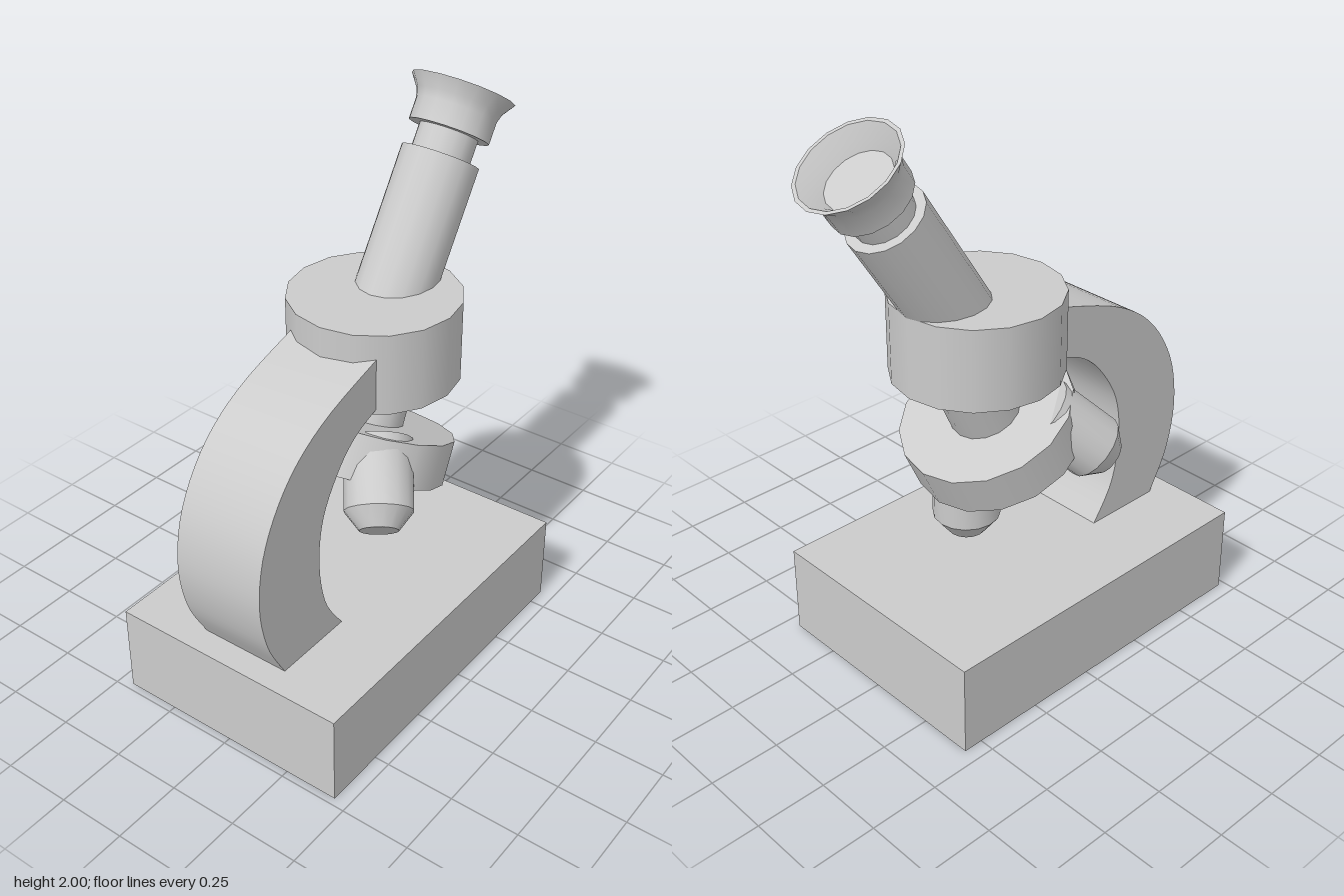
import * as THREE from 'three';
import { toCreasedNormals } from 'three/addons/utils/BufferGeometryUtils.js';

const SIDES = 16;
const rad = THREE.MathUtils.degToRad;
const material = new THREE.MeshStandardMaterial({ color: 0xcccccc });

function part(name, geometry, x = 0, y = 0, z = 0) {
  const mesh = new THREE.Mesh(geometry, material);
  mesh.name = name;
  mesh.position.set(x, y, z);
  return mesh;
}

// Cylinder running between two heights on the local y axis
function rod(name, radius, y0, y1) {
  return part(name, new THREE.CylinderGeometry(radius, radius, y1 - y0, SIDES), 0, (y0 + y1) / 2, 0);
}

// Turned solid from [radius, height] pairs, listed from the bottom outwards and up
function turned(name, profile) {
  const points = profile.map(([r, y]) => new THREE.Vector2(r, y));
  return part(name, toCreasedNormals(new THREE.LatheGeometry(points, SIDES), rad(35)));
}

// Curved arm: a side outline in (z, y), extruded across x
function makeArm() {
  const vec = ([z, y]) => new THREE.Vector2(z, y);
  const outer = [[0.63, 0.33], [0.71, 0.49], [0.74, 0.68], [0.70, 0.88], [0.58, 1.06], [0.40, 1.18], [0.13, 1.27]];
  const inner = [[0.13, 1.085], [0.24, 1.04], [0.33, 0.96], [0.415, 0.82], [0.44, 0.65], [0.41, 0.47], [0.325, 0.33]];
  const shape = new THREE.Shape();
  shape.moveTo(...outer[0]);
  shape.splineThru(outer.slice(1).map(vec));
  shape.lineTo(...inner[0]);
  shape.splineThru(inner.slice(1).map(vec));
  shape.closePath();
  const geometry = new THREE.ExtrudeGeometry(shape, { depth: 0.338, bevelEnabled: false, curveSegments: 4 });
  geometry.rotateY(-Math.PI / 2).translate(0.175, 0, 0);
  return part('arm', toCreasedNormals(geometry, rad(35)));
}

// Objective lens: origin at its shoulder, pointing along direction
function makeObjective(name, position, direction) {
  const lens = turned(name, [[0, -0.065], [0.066, -0.065], [0.117, 0], [0.117, 0.24], [0, 0.24]]);
  lens.position.set(...position);
  const up = new THREE.Vector3(...direction).normalize().negate();
  lens.quaternion.setFromUnitVectors(new THREE.Vector3(0, 1, 0), up);
  return lens;
}

export function createModel() {
  const model = new THREE.Group();
  model.name = 'microscope';

  model.add(part('base', new THREE.BoxGeometry(0.894, 0.33, 1.295), 0, 0.165, 0.077));
  model.add(makeArm());
  model.add(part('tubeHolder', new THREE.CylinderGeometry(0.295, 0.295, 0.29, SIDES), 0, 1.21, -0.095));

  // Viewing tube and eyepiece, origin at the tube's upper end
  const viewer = new THREE.Group();
  viewer.name = 'viewingTube';
  viewer.position.set(0, 1.707, -0.459);
  viewer.rotation.x = -rad(33);
  viewer.add(rod('upperTube', 0.136, -0.6, 0));
  viewer.add(rod('eyepieceNeck', 0.103, -0.02, 0.1));
  viewer.add(turned('eyecup', [
    [0, 0.085], [0.141, 0.085], [0.141, 0.16], [0.15, 0.19], [0.181, 0.233],
    [0.168, 0.233], [0.135, 0.195], [0.114, 0.165], [0, 0.165],
  ]));
  model.add(viewer);

  // Revolving nosepiece with the lower tube, origin at the disc centre
  const nosepiece = new THREE.Group();
  nosepiece.name = 'nosepiece';
  nosepiece.position.set(0, 0.82, -0.027);
  nosepiece.rotation.x = -rad(25);
  nosepiece.add(rod('turretDisc', 0.309, -0.079, 0.079));
  nosepiece.add(rod('lowerTube', 0.125, 0, 0.4));
  model.add(nosepiece);

  // One objective points straight down, two splay forward to the sides
  model.add(makeObjective('workingObjective', [0, 0.525, -0.149], [0, -1, 0]));
  for (const side of [-1, 1]) {
    model.add(makeObjective(side > 0 ? 'leftObjective' : 'rightObjective',
      [side * 0.25 - 0.01, 0.75, 0.205], [side * 0.45, -0.66, 0.6]));
  }

  return model;
}
